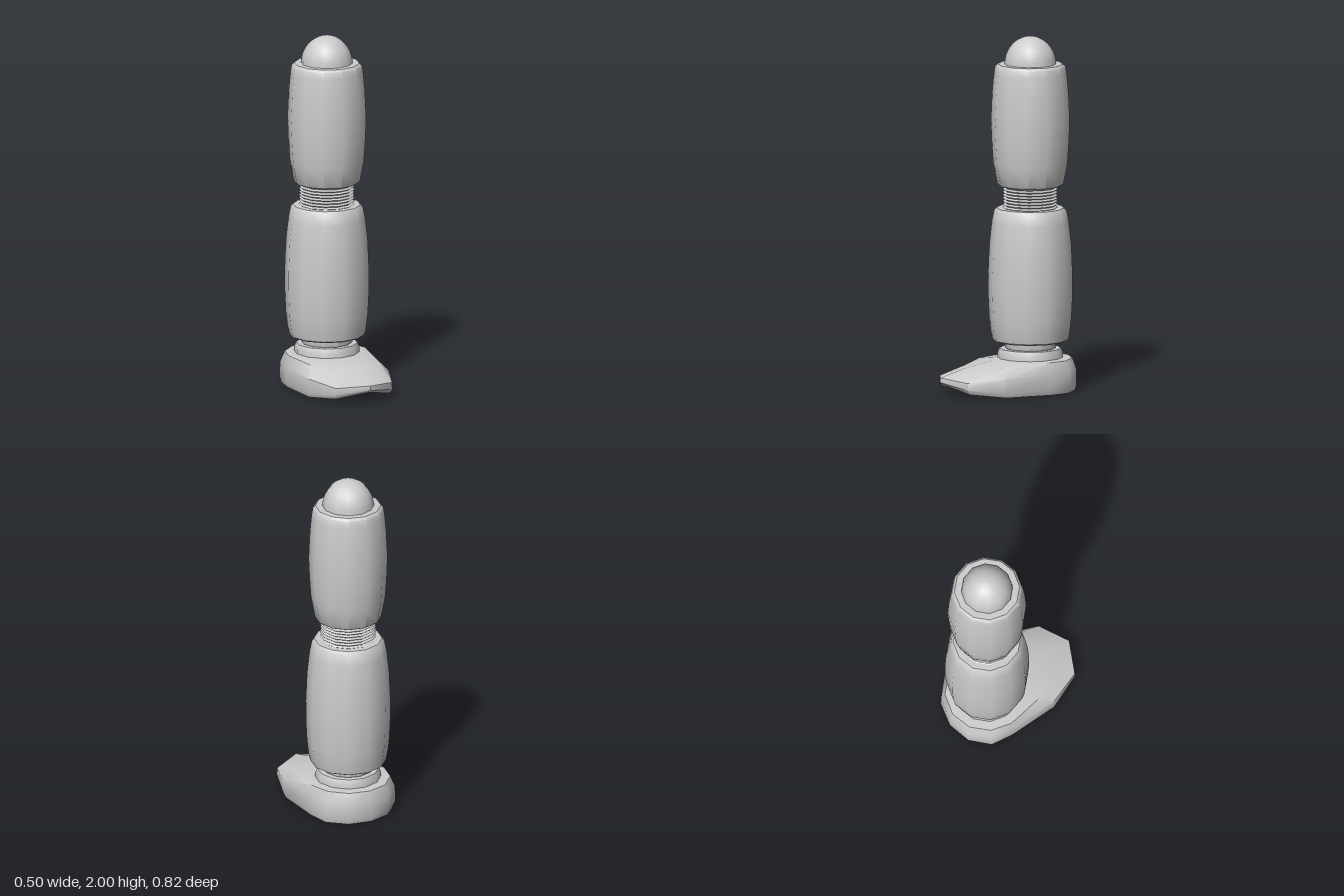
import * as THREE from 'three';
import { toCreasedNormals } from 'three/addons/utils/BufferGeometryUtils.js';

const SIDES = 12;
const AXIS_Z = -0.157;
const material = new THREE.MeshStandardMaterial({ color: 0xcccccc });

function addMesh(parent, name, geometry, crease = 0.75) {
  const mesh = new THREE.Mesh(toCreasedNormals(geometry, crease), material);
  mesh.name = name;
  parent.add(mesh);
  return mesh;
}

// Turned part around the leg axis; profile is [radius, y] from bottom to top.
function addTurned(parent, name, profile, crease) {
  const points = profile.map(([r, y]) => new THREE.Vector2(r, y));
  const mesh = addMesh(parent, name, new THREE.LatheGeometry(points, SIDES), crease);
  mesh.position.z = AXIS_Z;
}

// Joins closed rings of points, bottom to top, and caps both ends with a fan.
function loft(rings) {
  const n = rings[0].length;
  const positions = rings.flat(2);
  const index = [];
  for (let k = 0; k < rings.length - 1; k++) {
    for (let i = 0; i < n; i++) {
      const a = k * n + i, b = k * n + ((i + 1) % n);
      index.push(a, b, b + n, a, b + n, a + n);
    }
  }
  [0, rings.length - 1].forEach((k) => {
    const centre = positions.length / 3;
    positions.push(0, rings[k][3][1], AXIS_Z);
    for (let i = 0; i < n; i++) {
      const a = k * n + i, b = k * n + ((i + 1) % n);
      index.push(centre, ...(k === 0 ? [b, a] : [a, b]));
    }
  });
  const geometry = new THREE.BufferGeometry();
  geometry.setAttribute('position', new THREE.Float32BufferAttribute(positions, 3));
  geometry.setIndex(index);
  return geometry;
}

// Mirrors a toe-to-heel half ring of [x, y, z] points into a full ring.
function mirrorRing(half) {
  const other = half.slice(1, -1).reverse().map(([x, y, z]) => [-x, y, z]);
  return [...half, ...other];
}

function footGeometry() {
  // Half outline of the foot in plan: toe, side, heel.
  const outline = [[0, 0.41], [0.175, 0.325], [0.25, 0.125], [0.25, -0.16],
    [0.23, -0.288], [0.132, -0.381], [0, -0.412]];
  const outlineRing = (scale, heights) => mirrorRing(outline.map(([x, z], i) =>
    [x * scale, heights[Math.min(i, 3)], AXIS_Z + (z - AXIS_Z) * scale]));
  // Upper rings: three instep points, then a round heel.
  const upperRing = (front, radius, y) => {
    const heel = [];
    for (let i = 3; i <= 6; i++) {
      const t = (i * Math.PI) / 6;
      heel.push([i === 6 ? 0 : Math.sin(t) * radius, y, AXIS_Z + Math.cos(t) * radius]);
    }
    return mirrorRing([...front, ...heel]);
  };
  return loft([
    outlineRing(0.965, [0.065, 0.025, 0.003, 0]),
    outlineRing(1, [0.08, 0.05, 0.025, 0.03]),
    outlineRing(0.995, [0.105, 0.09, 0.11, 0.12]),
    upperRing([[0, 0.15, 0.25], [0.12, 0.145, 0.2], [0.2, 0.168, 0.06]], 0.236, 0.182),
    upperRing([[0, 0.184, 0.06], [0.09, 0.184, 0.03], [0.156, 0.185, -0.06]], 0.18, 0.186),
  ]);
}

export function createModel() {
  const leg = new THREE.Group();
  leg.name = 'leg';

  addMesh(leg, 'foot', footGeometry(), 0.9);

  // Ankle: stepped collar with a narrow neck
  addTurned(leg, 'ankleCollar', [[0.184, 0.17], [0.184, 0.21], [0.172, 0.236], [0, 0.236]]);
  addTurned(leg, 'ankleNeck', [[0.135, 0.23], [0.143, 0.242], [0.143, 0.29]]);

  addTurned(leg, 'shin', [[0, 0.276], [0.195, 0.276], [0.212, 0.285], [0.22, 0.32], [0.23, 0.4],
    [0.236, 0.52], [0.237, 0.65], [0.23, 0.82], [0.216, 0.95], [0.203, 1.015], [0.19, 1.03], [0, 1.03]]);

  // Ridged knee bellows
  const ridges = 8, bottom = 1.025, pitch = 0.135 / ridges;
  const bellows = [];
  for (let i = 0; i < ridges; i++) {
    bellows.push([0.143, bottom + i * pitch], [0.156, bottom + (i + 0.5) * pitch]);
  }
  bellows.push([0.143, bottom + ridges * pitch]);
  addTurned(leg, 'kneeBellows', bellows);

  addTurned(leg, 'thigh', [[0, 1.156], [0.175, 1.156], [0.186, 1.165], [0.208, 1.28], [0.216, 1.4],
    [0.221, 1.52], [0.214, 1.68], [0.204, 1.79], [0.197, 1.83], [0.183, 1.843], [0, 1.843]]);

  // Ball joint at the hip
  const ball = [];
  for (let i = 0; i <= 10; i++) {
    const t = (i / 10) * Math.PI / 2;
    ball.push([i === 10 ? 0 : 0.145 * Math.cos(t), 1.84 + 0.16 * Math.sin(t)]);
  }
  addTurned(leg, 'hipBall', ball);

  return leg;
}
